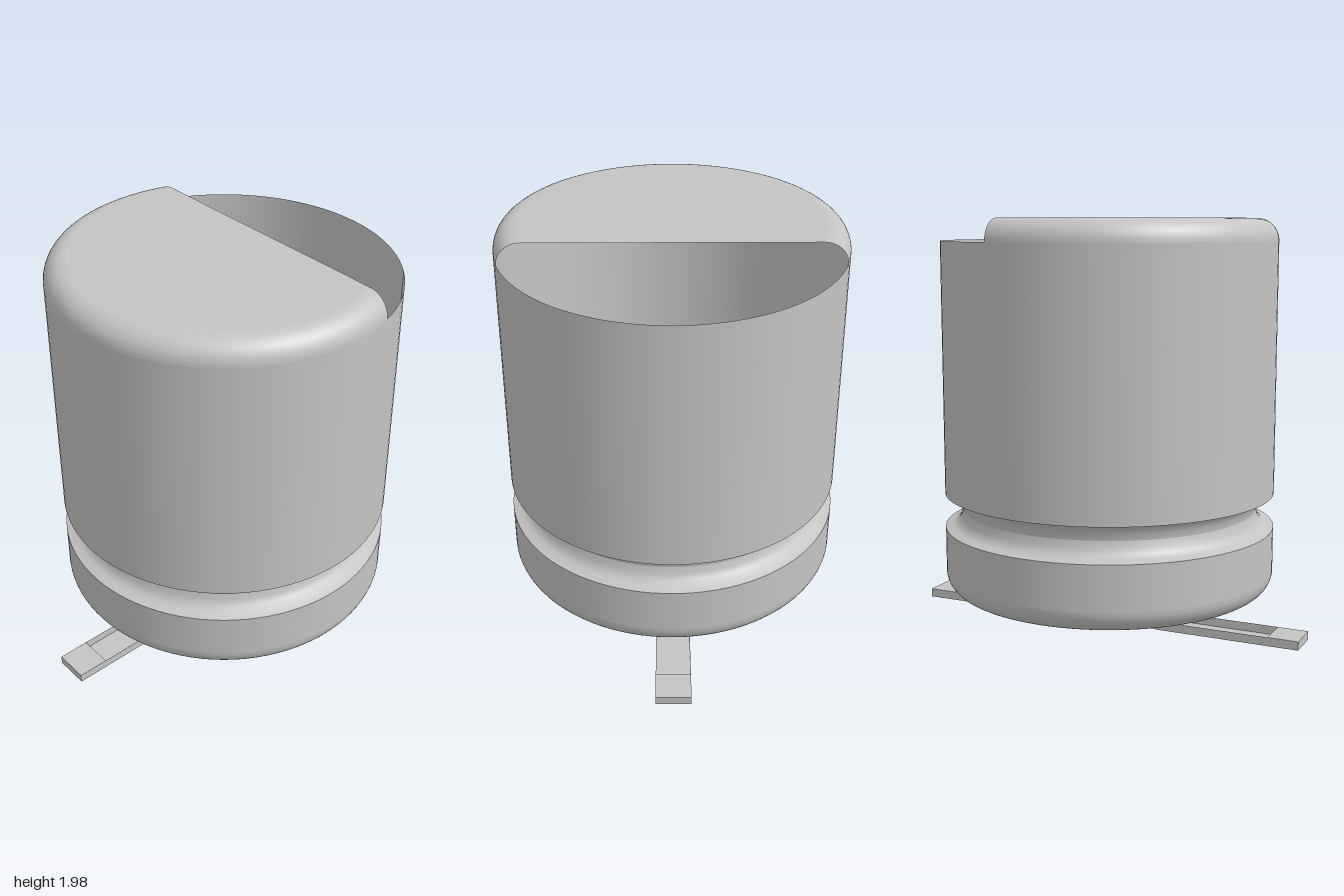
import * as THREE from 'three';
import { toCreasedNormals } from 'three/addons/utils/BufferGeometryUtils.js';

const R = 0.805;        // can radius
const FILLET = 0.105;   // rounding at both ends
const BOTTOM = 0.175, TOP = 1.978;
const CUT = 0.24;       // the lid covers x < CUT

// Bend a grid: fn(u, v) gives the position, u runs around and v runs up
function sheet(nu, nv, fn) {
  const geo = new THREE.PlaneGeometry(1, 1, nu, nv);
  const pos = geo.attributes.position;
  for (let j = 0; j <= nv; j++) {
    for (let i = 0; i <= nu; i++) pos.setXYZ(j * (nu + 1) + i, ...fn(i / nu, j / nv));
  }
  geo.computeVertexNormals();
  return geo;
}

export function createModel() {
  const model = new THREE.Group();
  model.name = 'canCapacitor';
  const metal = new THREE.MeshStandardMaterial({ color: 0xc4c4c4, side: THREE.DoubleSide });
  metal.name = 'grey metal';

  const add = (parent, name, geo) => {
    const mesh = new THREE.Mesh(geo, metal);
    mesh.name = name;
    parent.add(mesh);
    return mesh;
  };
  const lathe = (name, pts) =>
    add(model, name, new THREE.LatheGeometry(pts.map(([r, y]) => new THREE.Vector2(r, y)), 96));

  // Lower can: rounded open bottom and short wall
  const lower = [];
  for (let i = 0; i <= 10; i++) {
    const a = (i / 10) * Math.PI / 2;
    lower.push([R - FILLET + FILLET * Math.sin(a), BOTTOM + FILLET - FILLET * Math.cos(a)]);
  }
  lathe('lowerRim', lower);
  lathe('lowerWall', [[R, BOTTOM + FILLET], [R, 0.497]]);

  // Crimped groove, pinched at its middle
  lathe('grooveLower', [[R, 0.497], [0.765, 0.508], [0.742, 0.525], [0.728, 0.55], [0.72, 0.582]]);
  lathe('grooveUpper', [[0.72, 0.582], [0.724, 0.61], [0.738, 0.64], [0.76, 0.655], [R, 0.664]]);

  // Main wall, open at the top
  lathe('mainWall', [[R, 0.664], [R, TOP - FILLET]]);

  // Rounded lid edge, trimmed along the chord x = CUT
  add(model, 'lidEdge', sheet(96, 10, (u, v) => {
    const t = v * Math.PI / 2;
    const r = R - FILLET + FILLET * Math.cos(t);
    const a0 = Math.acos(CUT / r);
    const a = a0 + u * (2 * Math.PI - 2 * a0);
    return [r * Math.cos(a), TOP - FILLET + FILLET * Math.sin(t), r * Math.sin(a)];
  }));

  // Flat lid, a circle segment
  const flatR = R - FILLET;
  const half = Math.acos(CUT / flatR);
  const lidShape = new THREE.Shape();
  lidShape.absarc(0, 0, flatR, half, 2 * Math.PI - half, false);
  lidShape.closePath();
  add(model, 'lid', new THREE.ShapeGeometry(lidShape, 96).rotateX(-Math.PI / 2).translate(0, TOP, 0));

  // Leads: shallow trays with a rounded inner end and a covered outer tip
  const inner = 0.233, w = 0.083, h = 0.042, c = 0.07, tip = 0.85;
  const outline = new THREE.Shape();
  outline.moveTo(1, -w);
  outline.lineTo(1, w);
  outline.lineTo(inner + c, w);
  outline.absarc(inner + c, w - c, c, Math.PI / 2, Math.PI, false);
  outline.absarc(inner + c, c - w, c, Math.PI, Math.PI * 1.5, false);
  outline.closePath();
  const pts = outline.getPoints(10);
  if (!pts[0].equals(pts[pts.length - 1])) pts.push(pts[0].clone());
  const n = pts.length - 1;

  for (const [name, turn] of [['leftLead', 0], ['rightLead', Math.PI]]) {
    const lead = new THREE.Group();
    lead.name = name;
    lead.rotation.y = turn;
    add(lead, 'leadBottom', new THREE.ShapeGeometry(outline, 10).rotateX(Math.PI / 2));
    const wall = sheet(n, 1, (u, v) => {
      const p = pts[Math.round(u * n)];
      return [p.x, v * h, p.y];
    });
    add(lead, 'leadSides', toCreasedNormals(wall, 0.6));
    add(lead, 'leadTip', new THREE.PlaneGeometry(1 - tip, 2 * w)
      .rotateX(-Math.PI / 2).translate((1 + tip) / 2, h, 0));
    model.add(lead);
  }
  return model;
}
